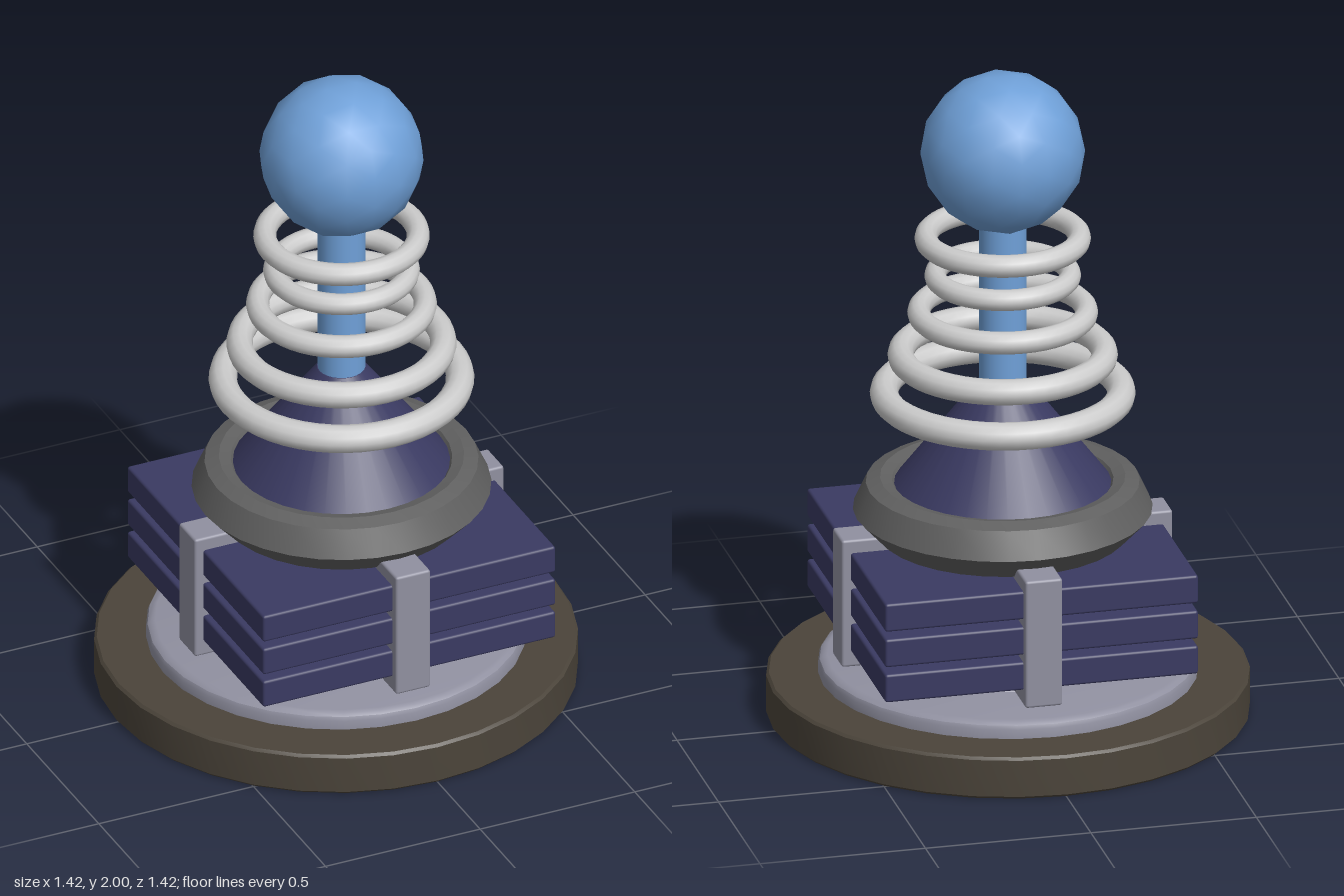
import * as THREE from 'three';
import { RoundedBoxGeometry } from 'three/addons/geometries/RoundedBoxGeometry.js';
import { toCreasedNormals } from 'three/addons/utils/BufferGeometryUtils.js';

export function createModel() {
  const model = new THREE.Group();
  const mat = (color) => new THREE.MeshStandardMaterial({ color });
  const brown = mat(0x4b443a), pale = mat(0x9090a0), navy = mat(0x3a3a62);
  const dark = mat(0x606060), blue = mat(0x6fa0d8), metal = mat(0xc0c0c0);

  const add = (parent, name, geometry, material, y = 0) => {
    const mesh = new THREE.Mesh(geometry, material);
    mesh.name = name;
    mesh.position.y = y;
    parent.add(mesh);
    return mesh;
  };
  // Turned part from [radius, height] pairs, listed bottom to top on the outside
  const turned = (points, sides = 32) => toCreasedNormals(
    new THREE.LatheGeometry(points.map(([r, y]) => new THREE.Vector2(r, y)), sides), 0.5);

  // Base discs
  add(model, 'base', turned([
    [0, 0], [0.702, 0], [0.71, 0.008], [0.71, 0.122], [0.702, 0.13], [0, 0.13]]), brown);
  add(model, 'basePlate', turned([
    [0, 0.12], [0.558, 0.12], [0.558, 0.158], [0.553, 0.17], [0.543, 0.178], [0.53, 0.181], [0, 0.181]]), pale);

  // Everything above the discs sits slightly off their centre
  const tower = new THREE.Group();
  tower.name = 'tower';
  tower.position.set(0.014, 0, 0.008);
  model.add(tower);

  add(tower, 'lowerCone', turned([[0.33, 0.17], [0.05, 0.48], [0, 0.48]]), pale);

  // Crossed upright plates holding the stacked square slabs
  for (const turn of [0, Math.PI / 2]) {
    add(tower, 'crossPlate', new RoundedBoxGeometry(1, 0.4, 0.112, 2, 0.008), pale, 0.4).rotation.y = turn;
  }
  for (const y of [0.292, 0.403, 0.515]) {
    add(tower, 'slab', new RoundedBoxGeometry(0.946, 0.088, 0.946, 2, 0.008), navy, y);
  }

  // Collar and the cone rising from it
  add(tower, 'collar', turned([
    [0, 0.565], [0.37, 0.565], [0.44, 0.64], [0.402, 0.722],
    [0.36, 0.737], [0.325, 0.728], [0.3, 0.69], [0, 0.69]]), dark);
  add(tower, 'upperCone', turned([[0.333, 0.7], [0.072, 1.04], [0, 1.04]]), navy);

  // Rod, rings and ball
  add(tower, 'rod', new THREE.CylinderGeometry(0.07, 0.07, 0.6, 24), blue, 1.28);
  const rings = [[1, 0.39, 0.042], [1.12, 0.338, 0.039], [1.254, 0.28, 0.034], [1.37, 0.23, 0.032], [1.488, 0.259, 0.034]];
  for (const [y, outer, tube] of rings) {
    add(tower, 'ring', new THREE.TorusGeometry(outer - tube, tube, 12, 48).rotateX(Math.PI / 2), metal, y);
  }
  add(tower, 'ball', new THREE.IcosahedronGeometry(0.242, 2), blue, 1.76);

  return model;
}
